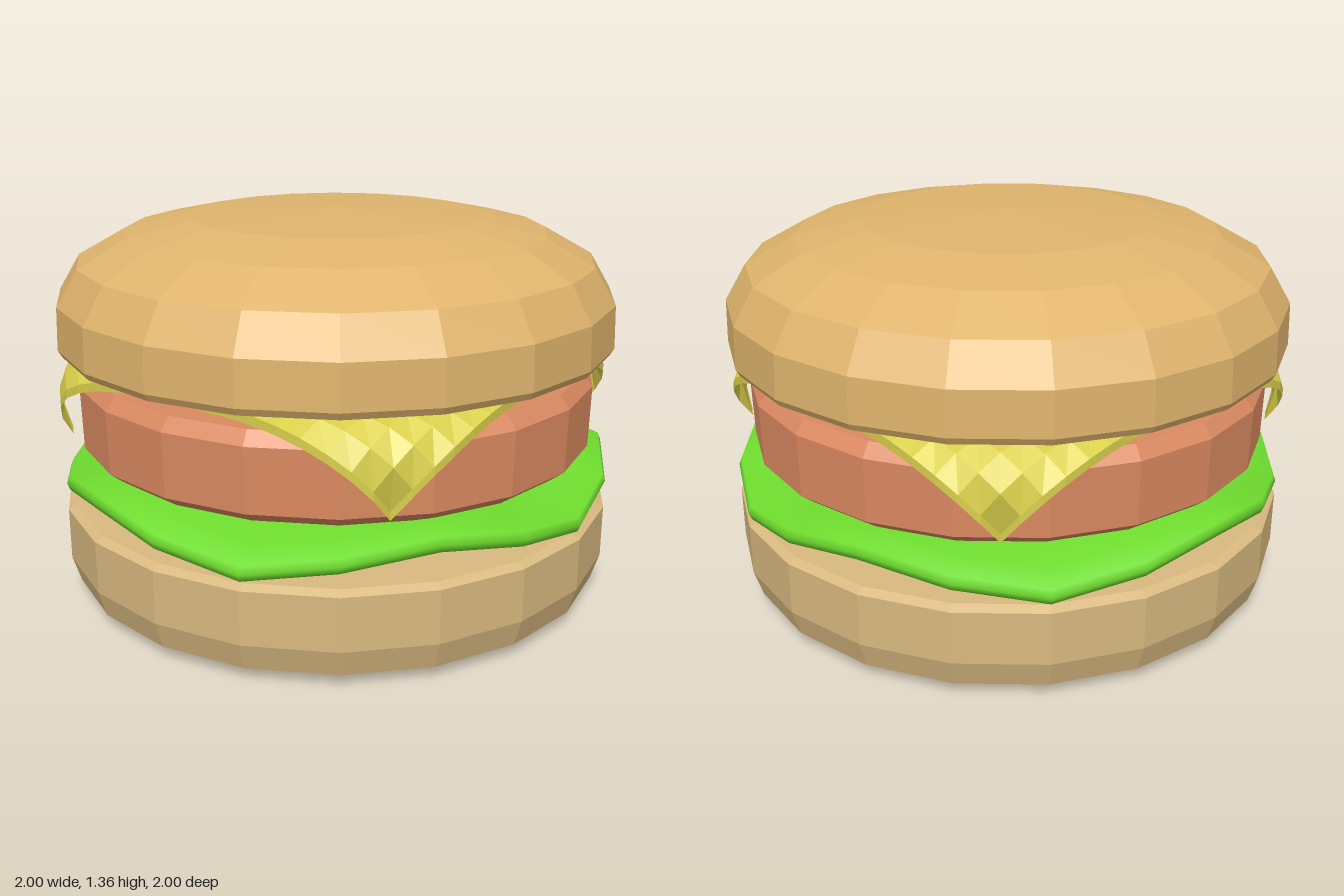
import * as THREE from 'three';
import { mergeVertices } from 'three/addons/utils/BufferGeometryUtils.js';

const SIDES = 20;

// Turn a list of [radius, height] pairs, bottom to top, into a round solid
function turned(points) {
  return new THREE.LatheGeometry(points.map(([r, y]) => new THREE.Vector2(r, y)), SIDES);
}

// Move every vertex by a rule, then rebuild shared vertices and normals
function warp(geometry, rule) {
  const pos = geometry.attributes.position;
  const v = new THREE.Vector3();
  for (let i = 0; i < pos.count; i++) {
    v.fromBufferAttribute(pos, i);
    rule(v);
    pos.setXYZ(i, v.x, v.y, v.z);
  }
  geometry.deleteAttribute('uv');
  geometry.deleteAttribute('normal');
  const merged = mergeVertices(geometry, 1e-4);
  merged.computeVertexNormals();
  return merged;
}

export function createModel() {
  const group = new THREE.Group();
  const add = (name, geometry, color, flatShading = true) => {
    const mesh = new THREE.Mesh(geometry, new THREE.MeshStandardMaterial({ color, flatShading }));
    mesh.name = name;
    group.add(mesh);
  };

  add('bottomBun', turned([
    [0, 0], [0.88, 0.005], [0.97, 0.045], [1, 0.14], [1, 0.325], [0.97, 0.34], [0, 0.345],
  ]), 0xd9b980);

  // Lettuce: thin leaf whose rim dips five times
  const leaf = turned([
    [0, 0.46], [0.4, 0.46], [0.72, 0.45], [0.9, 0.425], [0.99, 0.4],
    [1, 0.425], [0.99, 0.45], [0.9, 0.475], [0.72, 0.495], [0.4, 0.505], [0, 0.505],
  ]);
  add('lettuce', warp(leaf, (v) => {
    const r = Math.hypot(v.x, v.z);
    const ramp = THREE.MathUtils.clamp((r - 0.4) / 0.6, 0, 1);
    v.y -= 0.048 * ramp * Math.cos(5 * Math.atan2(v.x, v.z));
  }), 0x6fdc2e, false);

  add('patty', turned([
    [0, 0.505], [0.88, 0.51], [0.93, 0.55], [0.935, 0.77], [0.9, 0.815], [0, 0.82],
  ]), 0xdb8a61);

  // Cheese: square slice whose corners droop over the patty
  const slice = new THREE.BoxGeometry(1.7, 0.03, 1.7, 18, 1, 18);
  add('cheese', warp(slice, (v) => {
    const r = Math.hypot(v.x, v.z);
    const t = Math.max(0, (r - 0.86) / 0.342);
    const scale = r > 0 ? (r - 0.24 * t ** 2.5) / r : 1;
    v.set(v.x * scale, v.y + 0.85 - 0.28 * t ** 1.6, v.z * scale);
  }), 0xdad04c);

  add('topBun', turned([
    [0, 0.87], [0.94, 0.87], [0.985, 0.885], [1, 0.91], [0.995, 1.06],
    [0.92, 1.185], [0.75, 1.28], [0.52, 1.33], [0, 1.355],
  ]), 0xdfb46d);

  return group;
}
